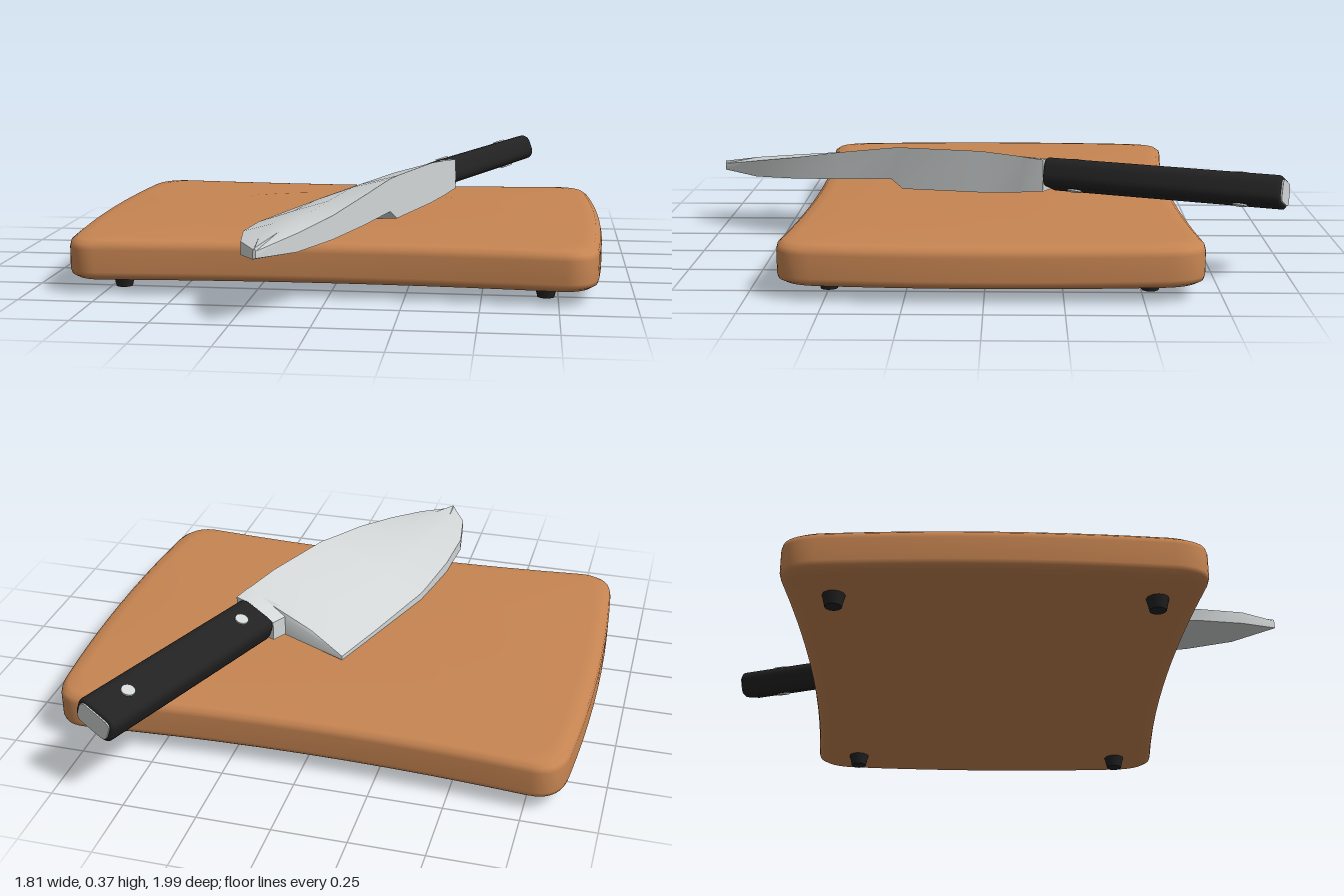
import * as THREE from 'three';
import { toCreasedNormals } from 'three/addons/utils/BufferGeometryUtils.js';

const wood = new THREE.MeshStandardMaterial({ color: 0xc78552 });
wood.name = 'wood';
const steel = new THREE.MeshStandardMaterial({ color: 0xd2d6d6 });
steel.name = 'steel';
const black = new THREE.MeshStandardMaterial({ color: 0x222222 });
black.name = 'black';

function part(name, geometry, material, parent) {
  const mesh = new THREE.Mesh(geometry, material);
  mesh.name = name;
  parent.add(mesh);
  return mesh;
}

// Skin over a list of closed rings with equal point counts
function loft(rings) {
  const n = rings[0].length;
  const index = [];
  for (let i = 0; i < rings.length - 1; i++) {
    for (let j = 0; j < n; j++) {
      const a = i * n + j, b = i * n + (j + 1) % n;
      index.push(a, b, a + n, b, b + n, a + n);
    }
  }
  const g = new THREE.BufferGeometry().setFromPoints(rings.flat());
  g.setIndex(index);
  g.computeVertexNormals();
  return g;
}

// Board: bowed rounded rectangle, blending to an oval plateau above and below
function boardGeometry() {
  const s = new THREE.Shape();
  s.moveTo(-0.77, -0.675);
  s.quadraticCurveTo(0, -0.6, 0.77, -0.675);
  s.quadraticCurveTo(0.865, -0.68, 0.88, -0.56);
  s.quadraticCurveTo(0.93, 0, 0.88, 0.56);
  s.quadraticCurveTo(0.865, 0.68, 0.77, 0.675);
  s.quadraticCurveTo(0, 0.6, -0.77, 0.675);
  s.quadraticCurveTo(-0.865, 0.68, -0.88, 0.56);
  s.quadraticCurveTo(-0.93, 0, -0.88, -0.56);
  s.quadraticCurveTo(-0.865, -0.68, -0.77, -0.675);
  const outline = s.getPoints(10).slice(0, -1);
  const edge = (inset, y) => outline.map(p =>
    new THREE.Vector3(p.x * (1 - inset / 0.9), y, p.y * (1 - inset / 0.65) - 0.02));
  const oval = (k, y) => outline.map(p => {
    const a = Math.atan2(p.y / 0.66, p.x / 0.9);
    return new THREE.Vector3(0.62 * k * Math.cos(a), y, 0.4 * k * Math.sin(a) - 0.01);
  });
  return loft([
    oval(0, 0.193), oval(0.9, 0.193), oval(1, 0.19),
    edge(0.06, 0.187), edge(0.02, 0.181), edge(0.004, 0.168), edge(0, 0.15),
    edge(0, 0.075), edge(0.004, 0.06), edge(0.02, 0.048), edge(0.06, 0.043),
    oval(1, 0.035), oval(0.9, 0.03), oval(0, 0.03),
  ]);
}

// Blade: each station is edge x, z, spine x, z, edge bottom, edge top, spine bottom, spine top
function bladeGeometry() {
  const stations = [
    [0.225, -0.24, 0.375, -0.19, 0.23, 0.30, 0.245, 0.355],
    [0.20, -0.18, 0.355, -0.13, 0.225, 0.295, 0.24, 0.36],
    [-0.03, -0.255, 0.345, -0.11, 0.195, 0.21, 0.235, 0.362],
    [-0.10, -0.05, 0.30, 0.02, 0.195, 0.212, 0.225, 0.37],
    [-0.20, 0.25, 0.20, 0.30, 0.193, 0.22, 0.215, 0.363],
    [-0.21, 0.30, 0.18, 0.34, 0.192, 0.222, 0.245, 0.358],
    [-0.245, 0.50, 0.11, 0.53, 0.19, 0.23, 0.23, 0.328],
    [-0.26, 0.70, 0.03, 0.71, 0.19, 0.235, 0.215, 0.292],
    [-0.235, 0.87, -0.06, 0.86, 0.192, 0.235, 0.203, 0.262],
    [-0.175, 0.995, -0.165, 0.995, 0.205, 0.225, 0.208, 0.23],
  ];
  const V = (x, y, z) => new THREE.Vector3(x, y, z);
  const rings = stations.map(([ex, ez, sx, sz, e0, e1, s0, s1]) => [
    V(sx, s1, sz),
    V((ex + 2 * sx) / 3, (e1 + 2 * s1) / 3 + 0.012, (ez + 2 * sz) / 3),
    V((2 * ex + sx) / 3, (2 * e1 + s1) / 3 + 0.008, (2 * ez + sz) / 3),
    V(ex, e1, ez), V(ex, e0, ez), V(sx, s0, sz),
  ]);
  // Close both ends on their centres
  const closed = r => {
    const c = r.reduce((sum, p) => sum.add(p), V(0, 0, 0)).divideScalar(r.length);
    return r.map(() => c.clone());
  };
  rings.unshift(closed(rings[0]));
  rings.push(closed(rings[rings.length - 1]));
  return toCreasedNormals(loft(rings), 0.6);
}

function roundedRect(w, h, r) {
  const s = new THREE.Shape();
  const x = w / 2, y = h / 2;
  s.moveTo(-x + r, -y);
  s.lineTo(x - r, -y);
  s.quadraticCurveTo(x, -y, x, -y + r);
  s.lineTo(x, y - r);
  s.quadraticCurveTo(x, y, x - r, y);
  s.lineTo(-x + r, y);
  s.quadraticCurveTo(-x, y, -x, y - r);
  s.lineTo(-x, -y + r);
  s.quadraticCurveTo(-x, -y, -x + r, -y);
  return s;
}

export function createModel() {
  const model = new THREE.Group();
  model.name = 'cuttingBoardWithKnife';

  const board = new THREE.Group();
  board.name = 'cuttingBoard';
  model.add(board);
  part('boardSlab', boardGeometry(), wood, board);
  for (const x of [-0.71, 0.71]) {
    for (const z of [-0.53, 0.5]) {
      part('foot', new THREE.CylinderGeometry(0.042, 0.028, 0.06, 12), black, board).position.set(x, 0.03, z);
    }
  }

  const knife = new THREE.Group();
  knife.name = 'knife';
  model.add(knife);
  part('blade', bladeGeometry(), steel, knife);

  // Handle: yawed along the knife and rolled with the blade
  const handle = new THREE.Group();
  handle.name = 'handle';
  handle.rotation.set(0, -0.365, 0.36, 'YXZ');
  handle.position.set(0.44, 0.291, -0.585);
  knife.add(handle);
  const grip = new THREE.ExtrudeGeometry(roundedRect(0.135, 0.075, 0.025), {
    depth: 0.785, bevelEnabled: true, bevelThickness: 0.012, bevelSize: 0.012, bevelSegments: 3, curveSegments: 5,
  });
  grip.translate(0, 0, -0.4);
  part('grip', toCreasedNormals(grip, 0.6), black, handle);
  const cap = new THREE.ExtrudeGeometry(roundedRect(0.132, 0.074, 0.025), { depth: 0.008, bevelEnabled: false });
  part('endCap', cap, steel, handle).position.z = -0.417;
  for (const side of [-1, 1]) {
    for (const z of [-0.27, 0.3]) {
      part('rivet', new THREE.CylinderGeometry(0.024, 0.024, 0.012, 14), steel, handle).position.set(0, side * 0.049, z);
    }
  }
  return model;
}
